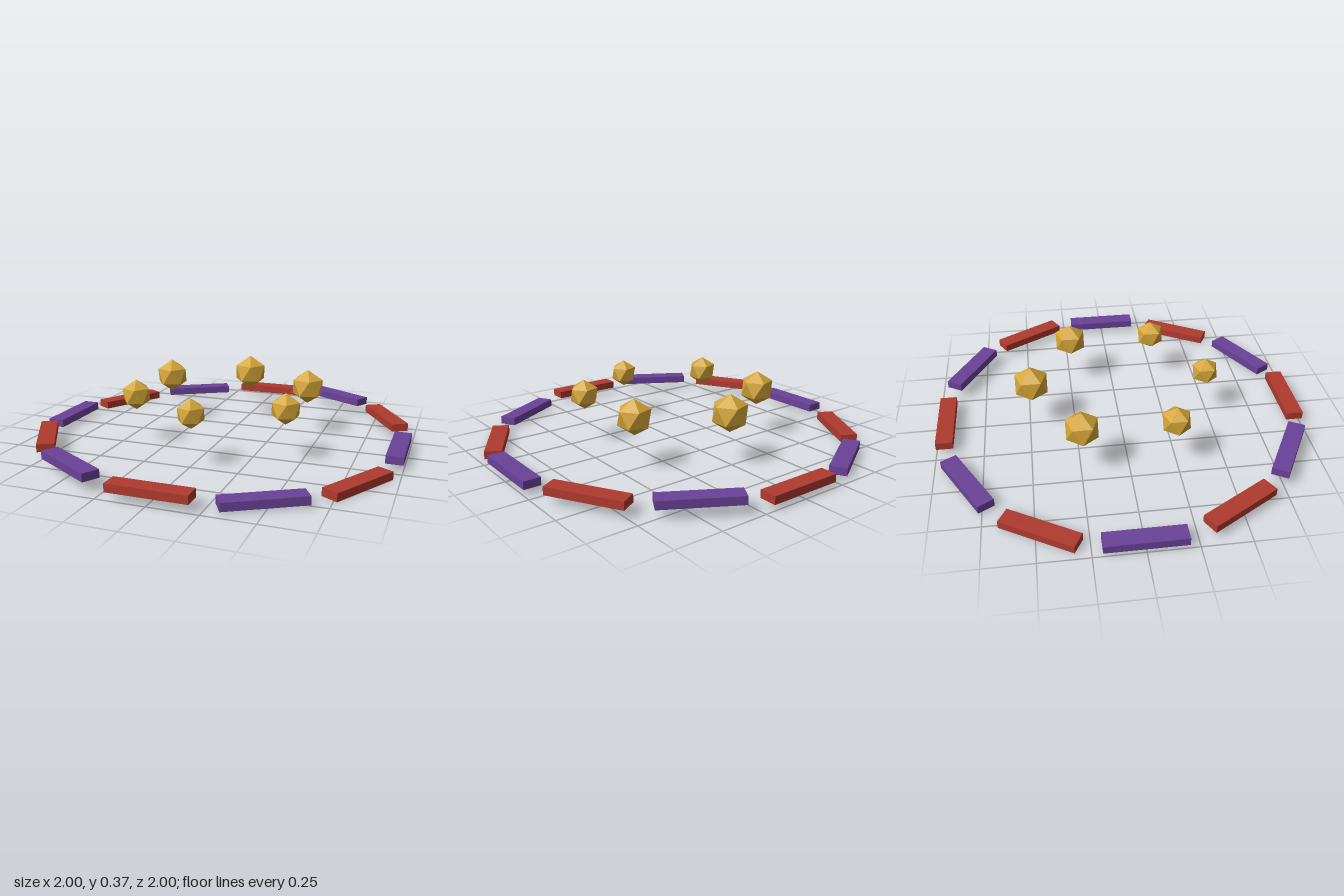
import * as THREE from 'three';

const red = new THREE.MeshStandardMaterial({ name: 'brick red', color: 0xb03a2e });
const purple = new THREE.MeshStandardMaterial({ name: 'purple', color: 0x6a4298 });
const gold = new THREE.MeshStandardMaterial({ name: 'gold', color: 0xd4a537 });
gold.flatShading = true;

export function createModel() {
  const model = new THREE.Group();
  model.name = 'barRingWithGems';

  // Ring of twelve bars in alternating colours, rising and falling in a wave
  const barGeometry = new THREE.BoxGeometry(0.4, 0.042, 0.09);
  const barHeights = [0.051, 0.021, 0.032, 0.06, 0.075, 0.065, 0.041, 0.022, 0.033, 0.05, 0.075, 0.064];
  const ring = new THREE.Group();
  ring.name = 'barRing';
  barHeights.forEach((y, i) => {
    const angle = (i / 12) * Math.PI * 2;
    const bar = new THREE.Mesh(barGeometry, i % 2 ? red : purple);
    bar.name = 'ringBar' + (i + 1);
    bar.position.set(Math.cos(angle) * 0.955, y, Math.sin(angle) * 0.955);
    bar.rotation.y = Math.PI / 2 - angle;
    ring.add(bar);
  });
  model.add(ring);

  // Six floating gems standing on a point, growing towards the back
  const gemGeometry = new THREE.IcosahedronGeometry(1, 0);
  gemGeometry.rotateZ(Math.atan(2 / (1 + Math.sqrt(5))));
  gemGeometry.rotateY(Math.PI);
  const gemRadii = [0.077, 0.082, 0.095, 0.1, 0.095, 0.082];
  const gems = new THREE.Group();
  gems.name = 'floatingGems';
  gemRadii.forEach((radius, i) => {
    const angle = (i / 6) * Math.PI * 2;
    const gem = new THREE.Mesh(gemGeometry, gold);
    gem.name = 'gem' + (i + 1);
    gem.position.set(Math.sin(angle) * 0.477, 0.27, Math.cos(angle) * 0.477);
    gem.scale.setScalar(radius);
    gems.add(gem);
  });
  model.add(gems);

  return model;
}
